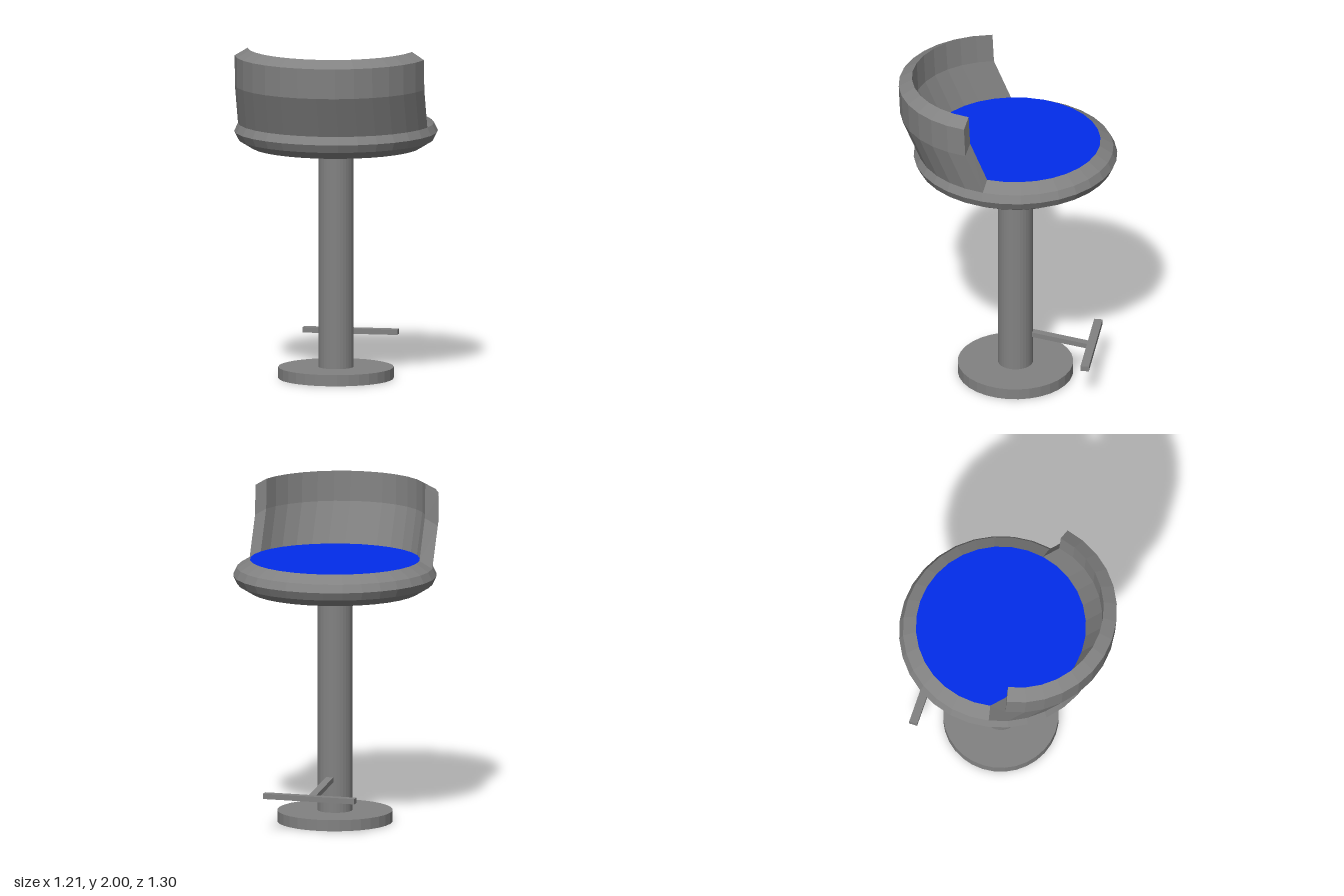
import * as THREE from 'three';

const SIDES = 32;
const CENTER_Z = -0.045;

const grey = new THREE.MeshStandardMaterial({ color: 0x828282, flatShading: true });
const blue = new THREE.MeshStandardMaterial({ color: 0x022cea });

function part(name, geometry, material = grey) {
  const mesh = new THREE.Mesh(geometry, material);
  mesh.name = name;
  return mesh;
}

// Curved, backward-leaning shell: a section [radius, height, lean] swept round the seat's rear
function backrestGeometry() {
  const section = [
    [0.582, 1.533, 0], [0.582, 1.775, 0.105], [0.582, 1.955, 0.113],
    [0.505, 2.0, 0.111], [0.505, 1.82, 0.102], [0.505, 1.58, 0],
  ];
  const steps = 14;
  const n = section.length;
  const positions = [];
  const index = [];
  for (let i = 0; i <= steps; i++) {
    const angle = (i - steps / 2) * (Math.PI * 2 / SIDES);
    for (const [r, y, lean] of section) {
      positions.push(r * Math.sin(angle), y, r * Math.cos(angle) + lean);
    }
  }
  const quad = (a, b, c, d) => index.push(a, b, d, b, c, d);
  for (let i = 0; i < steps; i++) {
    for (let j = 0; j < n - 1; j++) {
      const a = i * n + j;
      quad(a, a + n, a + n + 1, a + 1);
    }
  }
  // End caps
  const e = steps * n;
  quad(0, 1, 4, 5);
  quad(1, 2, 3, 4);
  quad(e + 5, e + 4, e + 1, e);
  quad(e + 4, e + 3, e + 2, e + 1);

  const indexed = new THREE.BufferGeometry();
  indexed.setAttribute('position', new THREE.Float32BufferAttribute(positions, 3));
  indexed.setIndex(index);
  const geometry = indexed.toNonIndexed();
  geometry.computeVertexNormals();
  return geometry;
}

export function createModel() {
  const stool = new THREE.Group();
  stool.name = 'barStool';

  // Everything is centred on the pole's axis
  const body = new THREE.Group();
  body.name = 'body';
  body.position.z = CENTER_Z;
  stool.add(body);

  // Floor disc and pole
  const base = part('base', new THREE.CylinderGeometry(0.343, 0.343, 0.067, SIDES));
  base.position.y = 0.0335;
  const pole = part('pole', new THREE.CylinderGeometry(0.104, 0.104, 1.33, SIDES, 1, true));
  pole.position.y = 0.065 + 1.33 / 2;
  body.add(base, pole);

  // Seat with bevelled rim
  const rim = [[0, 1.39], [0.505, 1.39], [0.582, 1.437], [0.605, 1.485], [0.582, 1.533], [0.505, 1.58]]
    .map(([r, y]) => new THREE.Vector2(r, y));
  body.add(part('seat', new THREE.LatheGeometry(rim, SIDES)));

  // Coloured seat top
  const cushion = part('cushion', new THREE.CircleGeometry(0.505, SIDES), blue);
  cushion.rotation.x = -Math.PI / 2;
  cushion.position.y = 1.58;
  body.add(cushion);

  body.add(part('backrest', backrestGeometry()));

  // Footrest: sloping arm with a crossbar
  const footrest = new THREE.Group();
  footrest.name = 'footrest';
  const drop = 0.055, reach = 0.35;
  const arm = part('footrestArm', new THREE.BoxGeometry(0.045, 0.03, Math.hypot(drop, reach)));
  arm.position.set(0, 0.241, -0.26);
  arm.rotation.x = -Math.atan2(drop, reach);
  const bar = part('footrestBar', new THREE.BoxGeometry(0.57, 0.032, 0.05));
  bar.position.set(0.008, 0.216, -0.457);
  footrest.add(arm, bar);
  body.add(footrest);

  return stool;
}
